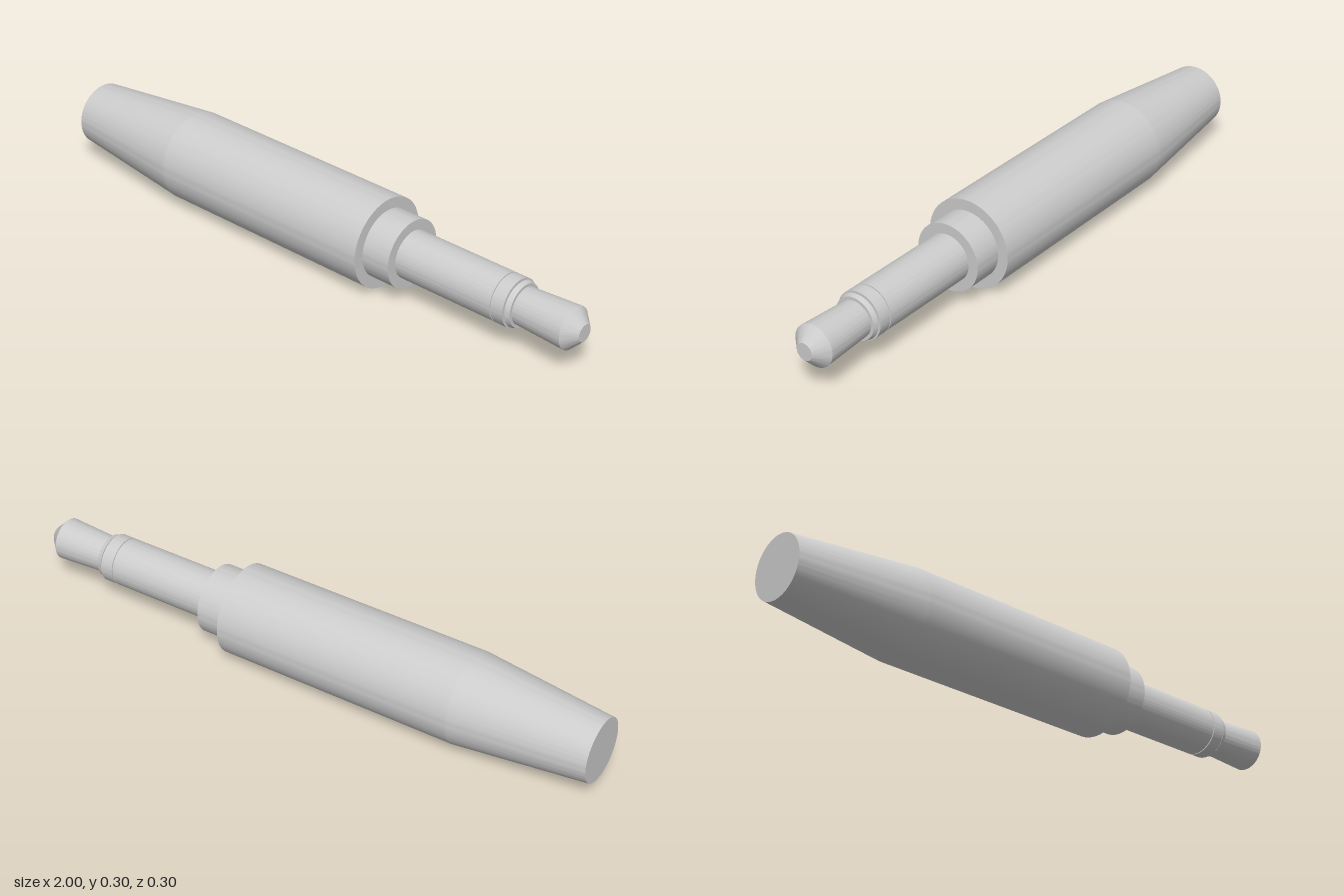
import * as THREE from 'three';
import { toCreasedNormals } from 'three/addons/utils/BufferGeometryUtils.js';

const RADIUS = 0.149;

export function createModel() {
  const model = new THREE.Group();
  model.name = 'audioPlug';
  const metal = new THREE.MeshStandardMaterial({ color: 0xcccccc });
  metal.name = 'light grey';

  // Solid turned around the x axis from [x, radius] pairs, with sharp edges kept
  function turned(name, profile) {
    const pts = [
      [profile[0][0], 0], ...profile, [profile[profile.length - 1][0], 0],
    ].map(([x, r]) => new THREE.Vector2(r, x));
    const geometry = toCreasedNormals(new THREE.LatheGeometry(pts, 96), 0.15);
    geometry.rotateZ(-Math.PI / 2);
    const mesh = new THREE.Mesh(geometry, metal);
    mesh.name = name;
    mesh.position.y = RADIUS;
    model.add(mesh);
  }

  // Handle
  turned('taperedGrip', [[-1, 0.104], [-0.56, RADIUS]]);
  turned('barrel', [[-0.56, RADIUS], [0.26, RADIUS]]);
  turned('collar', [[0.26, 0.113], [0.36, 0.113]]);

  // Contact pin
  turned('sleeveContact', [[0.36, 0.079], [0.718, 0.079]]);
  turned('insulatorGroove', [[0.718, 0.075], [0.722, 0.075]]);
  turned('ringContact', [[0.722, 0.079], [0.765, 0.079]]);
  turned('insulatorRing', [
    [0.765, 0.07], [0.77, 0.07], [0.77, 0.075], [0.785, 0.07],
  ]);

  // Flared tip with a blunt cone
  turned('tipContact', [[0.785, 0.06], [0.96, 0.069], [1, 0.028]]);

  return model;
}
